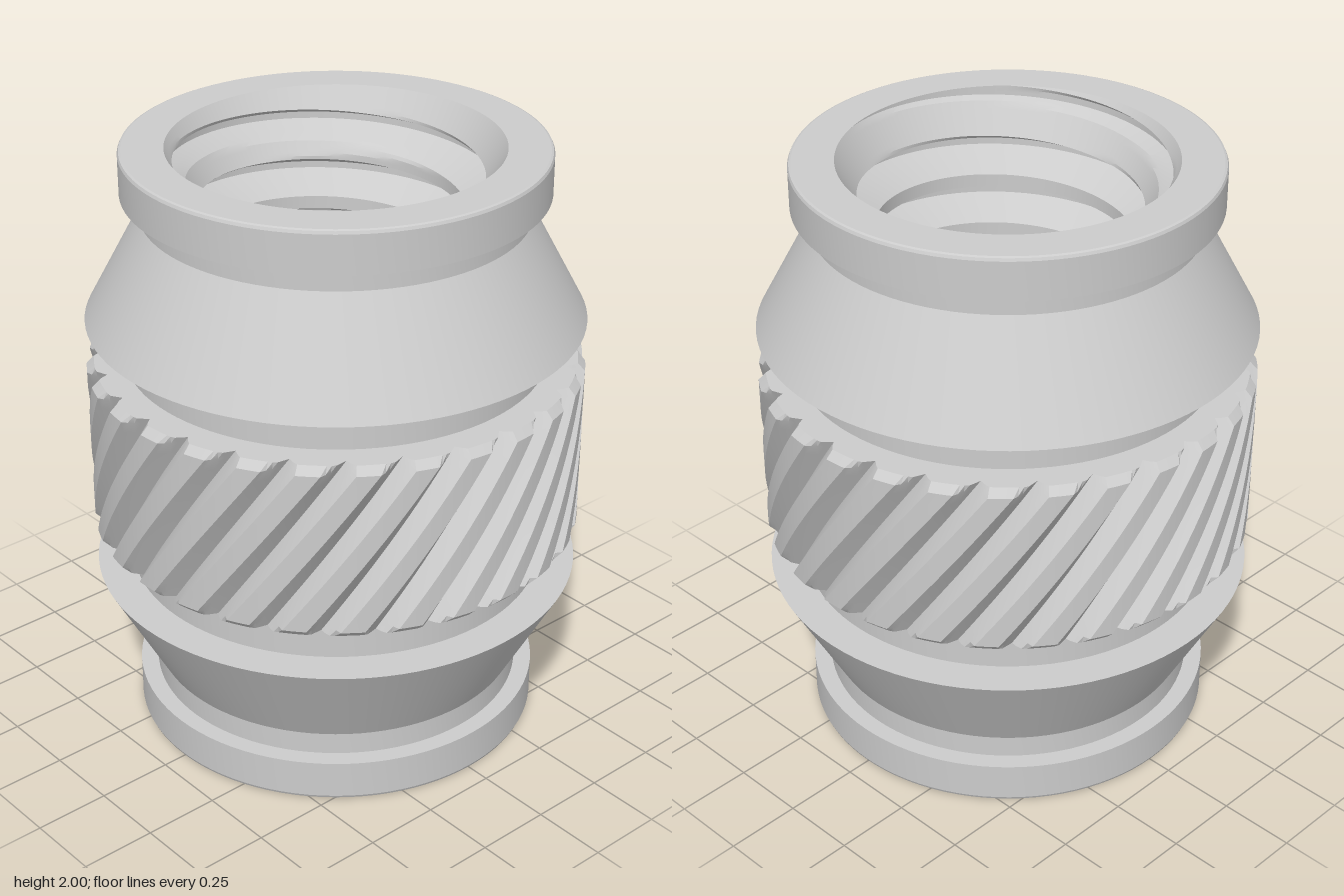
import * as THREE from 'three';
import { toCreasedNormals } from 'three/addons/utils/BufferGeometryUtils.js';

const material = new THREE.MeshStandardMaterial({ color: 0xcccccc });
const TAU = Math.PI * 2;

function part(name, geometry, crease = 0.35) {
  const mesh = new THREE.Mesh(toCreasedNormals(geometry, crease), material);
  mesh.name = name;
  return mesh;
}

// Closed-round surface: at(row, col) returns [radius, y, angle]; rows run upward
function roundSurface(rows, cols, at, inward = false) {
  const positions = [], index = [];
  for (let i = 0; i <= rows; i++) {
    for (let j = 0; j <= cols; j++) {
      const [r, y, a] = at(i, j);
      positions.push(r * Math.cos(a), y, -r * Math.sin(a));
    }
  }
  for (let i = 0; i < rows; i++) {
    for (let j = 0; j < cols; j++) {
      const a = i * (cols + 1) + j, b = a + 1, c = a + cols + 1, d = c + 1;
      if (inward) index.push(a, c, b, b, c, d);
      else index.push(a, b, c, b, d, c);
    }
  }
  const g = new THREE.BufferGeometry();
  g.setAttribute('position', new THREE.Float32BufferAttribute(positions, 3));
  g.setIndex(index);
  return g;
}

// Turned outer body: end collars, neck grooves and barbed cones, mirrored about mid height
function bodyGeometry() {
  const half = [
    [0.53, 0], [0.662, 0], [0.669, 0.003], [0.673, 0.012], [0.673, 0.14], [0.615, 0.14],
    [0.615, 0.215], [0.8, 0.56], [0.68, 0.56], [0.68, 0.72],
  ];
  const upper = half.map(([r, y]) => [r, 2 - y]).reverse();
  return new THREE.LatheGeometry([...half, ...upper].map(([r, y]) => new THREE.Vector2(r, y)), 96);
}

// Helically knurled band with chamfered ends
function knurlGeometry() {
  const teeth = 28, perTooth = 12, twist = 0.55;
  const bottom = 0.705, top = 1.3, chamfer = 0.025, steps = 12;
  const levels = [bottom, bottom];
  for (let i = 0; i <= steps; i++) {
    levels.push(bottom + chamfer + (top - bottom - 2 * chamfer) * i / steps);
  }
  levels.push(top, top);
  const last = levels.length - 1;
  // flat land followed by a V-shaped groove
  const tooth = (t) => {
    if (t <= 5 / 12) return 0.802;
    const depth = t < 9 / 12 ? (t - 5 / 12) * 3 : (1 - t) * 4;
    return 0.802 - 0.055 * depth;
  };
  return roundSurface(last, teeth * perTooth, (i, j) => {
    const y = levels[i];
    const angle = j / (teeth * perTooth) * TAU + twist * (y - 1) / (top - bottom);
    if (i === 0 || i === last) return [0.67, y, angle];
    const limit = 0.778 + Math.min(y - bottom, top - y);
    return [Math.min(tooth((j % perTooth) / perTooth), limit), y, angle];
  });
}

// Right-hand internal thread, opening into a conical lead-in at both ends
function threadGeometry() {
  const pitch = 0.175, perPitch = 16, minor = 0.41, major = 0.53, lead = 0.6, cols = 96;
  const rows = Math.ceil((2 + pitch) / pitch * perPitch);
  return roundSurface(rows, cols, (i, j) => {
    const k = rows - i;
    const rise = j / cols;
    const y = THREE.MathUtils.clamp(2 + pitch * (rise - k / perPitch), 0, 2);
    const fromCrest = Math.abs((k % perPitch) / perPitch - 0.5);
    const cut = THREE.MathUtils.clamp((fromCrest - 0.125) / 0.3125, 0, 1);
    const cone = major - lead * Math.min(y, 2 - y);
    return [Math.max(minor + (major - minor) * cut, cone), y, rise * TAU];
  }, true);
}

export function createModel() {
  const group = new THREE.Group();
  group.name = 'threadedInsert';
  group.add(
    part('body', bodyGeometry()),
    part('knurledBand', knurlGeometry()),
    part('internalThread', threadGeometry()),
  );
  return group;
}
